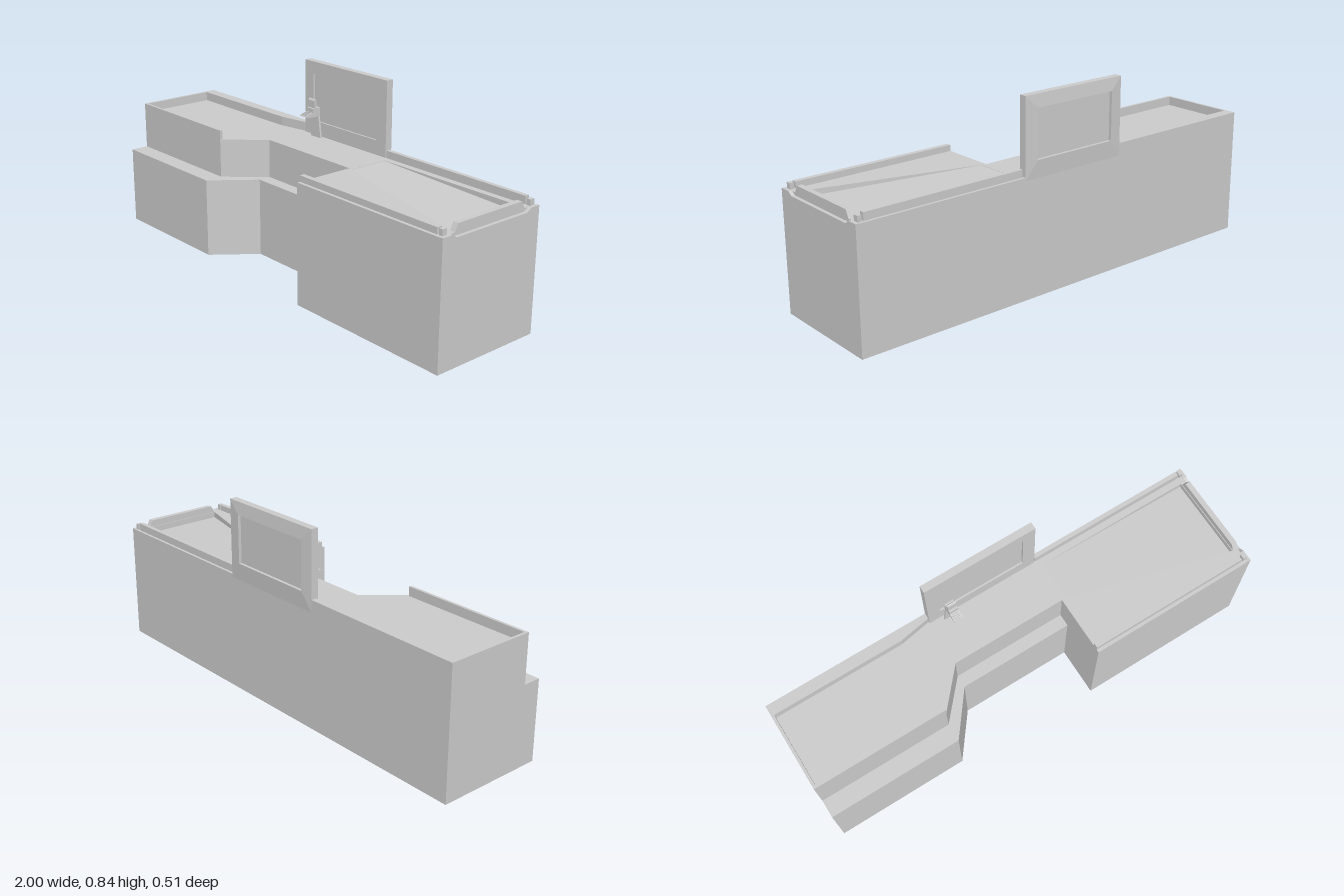
import * as THREE from 'three';

const mat = new THREE.MeshStandardMaterial({ color: 0xcccccc, flatShading: true, side: THREE.DoubleSide });

export function createModel() {
  const root = new THREE.Group();

  const add = (name, geo) => {
    const mesh = new THREE.Mesh(geo, mat);
    mesh.name = name;
    root.add(mesh);
    return mesh;
  };
  const box = (name, x0, x1, y0, y1, z0, z1) => {
    const geo = new THREE.BoxGeometry(x1 - x0, y1 - y0, z1 - z0);
    return add(name, geo.translate((x0 + x1) / 2, (y0 + y1) / 2, (z0 + z1) / 2));
  };
  const outline = (pts, Type = THREE.Shape) => new Type(pts.map(([a, b]) => new THREE.Vector2(a, b)));
  const extrude = (pts, depth, hole) => {
    const shape = outline(pts);
    if (hole) shape.holes.push(outline(hole, THREE.Path));
    return new THREE.ExtrudeGeometry(shape, { depth, bevelEnabled: false });
  };
  // Upright prism from a plan outline of [x, z] points
  const flip = (pts) => pts.map(([x, z]) => [x, -z]);
  const prism = (name, pts, y0, y1, hole) =>
    add(name, extrude(flip(pts), y1 - y0, hole && flip(hole)).rotateX(-Math.PI / 2).translate(0, y0, 0));
  // Prism along x from a side outline of [z, y] points
  const sideProfile = (name, pts, x0, x1) =>
    add(name, extrude(pts.map(([z, y]) => [-z, y]), x1 - x0).rotateY(Math.PI / 2).translate(x0, 0, 0));
  const quads = (name, list) => {
    const geo = new THREE.BufferGeometry();
    const pos = list.flatMap(([a, b, c, d]) => [a, b, c, a, c, d].flat());
    geo.setAttribute('position', new THREE.Float32BufferAttribute(pos, 3));
    geo.computeVertexNormals();
    return add(name, geo);
  };

  // Stepped cabinet with a front ledge
  prism('lowerCabinet', [[-1, -0.25], [0.24, -0.25], [0.24, 0.04], [-0.27, 0.04], [-0.41, 0.222], [-1, 0.222]], 0, 0.345);
  prism('upperCabinet', [[-1, -0.25], [0.24, -0.25], [0.24, -0.015], [-0.27, -0.015], [-0.41, 0.143], [-1, 0.143]], 0.345, 0.513);

  // Raised rim round the left tray
  prism('backRim', [[-1, -0.25], [-0.27, -0.25], [-0.27, -0.225], [-0.41, -0.2], [-1, -0.2]], 0.513, 0.553);
  box('leftRim', -1, -0.988, 0.513, 0.553, -0.2, 0.143);
  box('frontRim', -0.988, -0.41, 0.513, 0.553, 0.131, 0.143);

  // Right cabinet with a sloping trough let into its top
  const trough = [[0.26, -0.19], [0.96, -0.19], [0.96, 0.18], [0.26, -0.01]];
  const rect = (x0, x1, z0, z1) => [[x0, z0], [x1, z0], [x1, z1], [x0, z1]];
  box('rightCabinet', 0.24, 1, 0, 0.46, -0.25, 0.255);
  prism('rightCabinetTop', rect(0.24, 1, -0.25, 0.255), 0.46, 0.5, trough);
  prism('rightWorktop', rect(0.24, 0.985, -0.25, 0.255), 0.5, 0.513, trough);
  const floorY = (x) => 0.512 - 0.025 * (x - 0.26) / 0.7;
  quads('troughFloor', [trough.map(([x, z]) => [x, floorY(x), z]).reverse()]);

  // Corner pieces, side rails and the end stop
  for (const s of [1, -1]) {
    const edge = s > 0 ? 0.255 : -0.25;
    sideProfile('cornerPiece', [[edge, 0.5], [edge, 0.514], [s * 0.205, 0.514], [s * 0.185, 0.5]], 0.985, 1);
  }
  box('frontRail', 0.24, 0.96, 0.513, 0.539, 0.219, 0.241);
  box('backRail', 0.24, 0.96, 0.513, 0.545, -0.238, -0.219);
  sideProfile('endStop', [[0.185, 0.505], [0.165, 0.543], [-0.168, 0.543], [-0.188, 0.505]], 0.963, 0.986);
  for (const z of [0.23, -0.228]) box('railEnd', 0.968, 0.985, 0.513, 0.538, z - 0.011, z + 0.011);

  // Screen panel: frame, sunken screen and a bevelled back
  const outer = [[-0.27, 0.5], [0.235, 0.5], [0.235, 0.836], [-0.27, 0.836]];
  const inner = [[-0.215, 0.575], [0.178, 0.575], [0.178, 0.782], [-0.215, 0.782]];
  add('screenFrame', extrude(outer, 0.032, inner).translate(0, 0, -0.25));
  box('screen', -0.215, 0.178, 0.575, 0.782, -0.243, -0.226);
  quads('screenBackBevel', outer.map((p, i) => {
    const j = (i + 1) % 4;
    return [[...p, -0.25], [...inner[i], -0.256], [...inner[j], -0.256], [...outer[j], -0.25]];
  }));
  quads('screenBackLip', inner.map((p, i) => {
    const q = inner[(i + 1) % 4];
    return [[...p, -0.256], [...p, -0.243], [...q, -0.243], [...q, -0.256]];
  }));

  // Small terminal on a tapered stand
  add('terminalStand', extrude([[-0.21, 0.513], [-0.147, 0.513], [-0.162, 0.612], [-0.196, 0.612]], 0.009)
    .translate(0, 0, -0.207));
  sideProfile('terminalBody', [[-0.207, 0.609], [-0.207, 0.647], [-0.165, 0.647], [-0.165, 0.629],
    [-0.13, 0.62], [-0.128, 0.615], [-0.145, 0.609]], -0.199, -0.159);
  for (let i = 0; i < 4; i++) {
    const z = -0.159 + i * 0.008, y = 0.629 - i * 0.002;
    box('keyRow', -0.194, -0.164, y - 0.005, y + 0.002, z - 0.002, z + 0.002);
  }
  sideProfile('terminalDisplay', [[-0.186, 0.647], [-0.186, 0.68], [-0.182, 0.686], [-0.178, 0.684],
    [-0.175, 0.678], [-0.175, 0.647]], -0.199, -0.16);

  return root;
}
